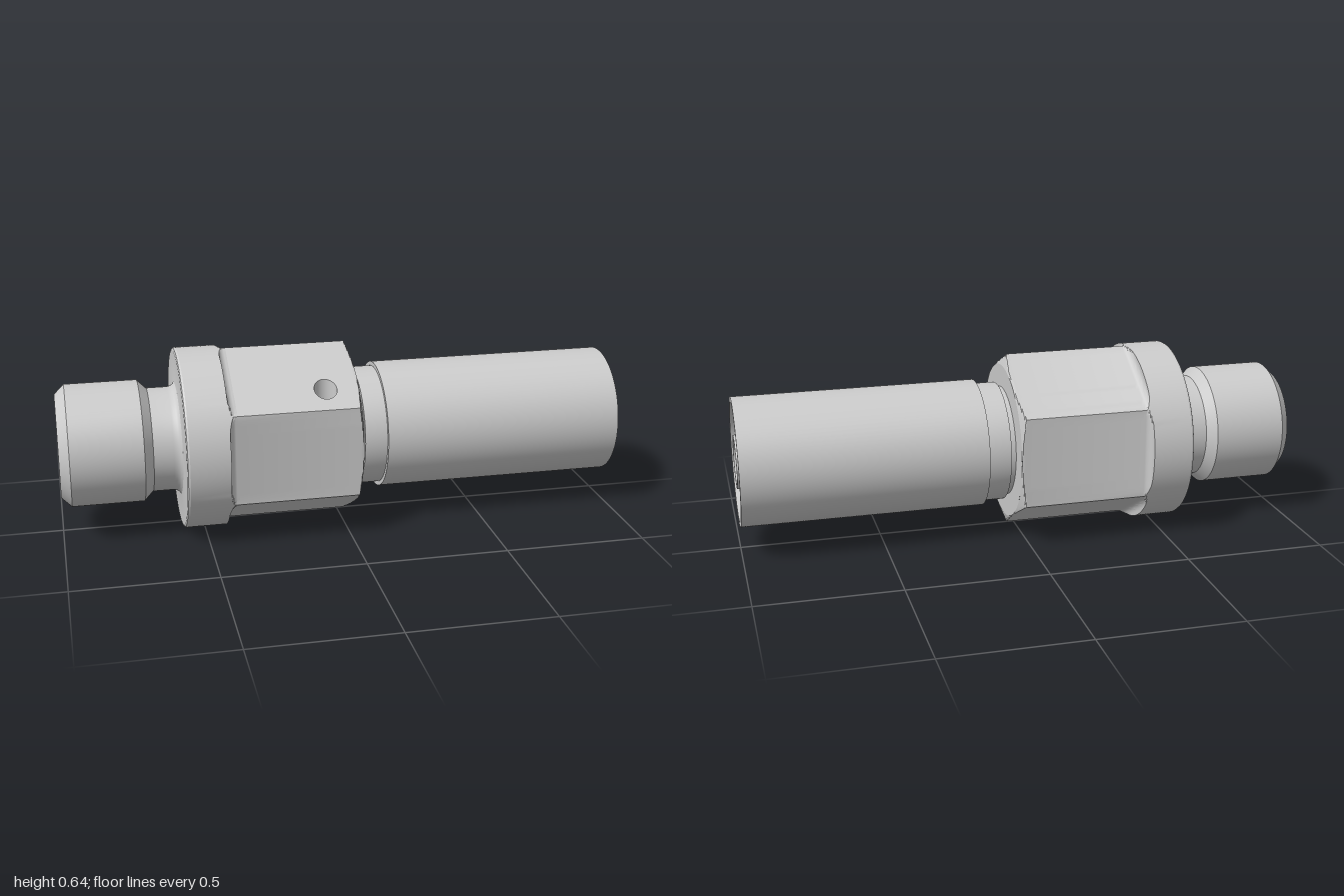
import * as THREE from 'three';
import { toCreasedNormals } from 'three/addons/utils/BufferGeometryUtils.js';

const R = 0.322;                       // flange and hexagon corner radius
const A = R * Math.cos(Math.PI / 6);   // hexagon flat distance
const BORE = 0.08;
const FLAT_START = -0.4, FLAT_END = 0.025;
const SEGS = 120, PER_FLAT = SEGS / 6;

const grey = new THREE.MeshStandardMaterial({ color: 0xcccccc });
const greyInside = new THREE.MeshStandardMaterial({ color: 0xcccccc, side: THREE.BackSide });

function addMesh(parent, name, geometry, material = grey) {
  const mesh = new THREE.Mesh(geometry, material);
  mesh.name = name;
  parent.add(mesh);
}

// Turned part along x, from [x, radius] points
function turned(points) {
  const profile = points.map(([x, r]) => new THREE.Vector2(r, x));
  const geo = new THREE.LatheGeometry(profile, 96).rotateZ(-Math.PI / 2);
  return toCreasedNormals(geo, 0.4);
}

// Round flange running into a hexagon: each section is a circle clipped by six flats
function hexBody() {
  const sections = [[-0.58, 0.312, 1], [-0.577, 0.319, 1], [-0.57, R, 1], [-0.43, R, 1]];
  for (let k = 0; k <= 6; k++) {       // milled fillet at the end of each flat
    const t = (k / 6) * Math.PI / 2;
    sections.push([FLAT_START - 0.03 * Math.cos(t), R, A + 0.03 * (1 - Math.sin(t))]);
  }
  const flatRow = sections.length - 1;
  for (let k = 0; k <= 4; k++) {       // chamfered corners at the far end
    sections.push([FLAT_END + 0.015 * k / 4, R - 0.044 * k / 4, A]);
  }
  const positions = [], index = [];
  for (const [x, radius, flat] of sections) {
    for (let j = 0; j <= SEGS; j++) {
      const angle = (j / SEGS) * Math.PI * 2;
      const off = ((j % PER_FLAT) / PER_FLAT - 0.5) * Math.PI / 3;
      const r = Math.min(radius, flat / Math.cos(off));
      positions.push(x, r * Math.cos(angle), r * Math.sin(angle));
    }
  }
  const row = SEGS + 1;
  for (let i = 0; i < sections.length - 1; i++) {
    for (let j = 0; j < SEGS; j++) {
      if (i === flatRow && j < PER_FLAT) continue;   // left open for the drilled flat
      const a = i * row + j, b = a + row;
      index.push(a, a + 1, b, a + 1, b + 1, b);
    }
  }
  const geo = new THREE.BufferGeometry();
  geo.setAttribute('position', new THREE.Float32BufferAttribute(positions, 3));
  geo.setIndex(index);
  return toCreasedNormals(geo, 0.4);
}

// Upper front flat with the hole cut out
function drilledFlat() {
  const shape = new THREE.Shape();
  shape.moveTo(FLAT_START, -R / 2);
  shape.lineTo(FLAT_END, -R / 2);
  shape.lineTo(FLAT_END, R / 2);
  shape.lineTo(FLAT_START, R / 2);
  const hole = new THREE.Path();
  hole.absellipse(-0.08, -0.064, 0.04, 0.04 / Math.cos(Math.PI / 6), 0, Math.PI * 2, true);
  shape.holes.push(hole);
  const c = Math.cos(Math.PI / 6);
  const basis = new THREE.Matrix4().makeBasis(
    new THREE.Vector3(1, 0, 0), new THREE.Vector3(0, 0.5, -c), new THREE.Vector3(0, c, 0.5));
  basis.setPosition(0, A * c, A * 0.5);
  return new THREE.ShapeGeometry(shape, 24).applyMatrix4(basis);
}

// Hole wall, its rim following the slope of the flat
function holeWall(z0, floor) {
  const geo = new THREE.CylinderGeometry(0.04, 0.04, 1, 48, 1, true);
  const p = geo.attributes.position;
  for (let i = 0; i < p.count; i++) {
    const z = p.getZ(i) + z0;
    const rim = (A - 0.5 * z) / Math.cos(Math.PI / 6);
    p.setXYZ(i, p.getX(i) - 0.08, p.getY(i) > 0 ? rim : floor, z);
  }
  return geo;
}

export function createModel() {
  const group = new THREE.Group();
  group.name = 'hoseFitting';
  group.position.y = R;

  // Plug end with chamfers, relief neck and flange face
  const neckFillet = [];
  for (let k = 0; k <= 5; k++) {
    const t = (k / 5) * Math.PI / 2;
    neckFillet.push([-0.61 + 0.03 * Math.sin(t), 0.184 + 0.02 * (1 - Math.cos(t))]);
  }
  addMesh(group, 'plugEnd', turned([
    [-1, BORE], [-1, 0.182], [-0.965, 0.216], [-0.712, 0.216], [-0.68, 0.184],
    ...neckFillet, [-0.58, 0.312],
  ]));

  addMesh(group, 'hexBody', hexBody());
  addMesh(group, 'drilledFlat', drilledFlat());

  // Blind hole
  const z0 = 0.064 * Math.cos(Math.PI / 6) + A / 2, floor = 0.12;
  addMesh(group, 'holeWall', holeWall(z0, floor), greyInside);
  addMesh(group, 'holeFloor',
    new THREE.CircleGeometry(0.04, 48).rotateX(-Math.PI / 2).translate(-0.08, floor, z0));

  // Hexagon end face, groove, collar and crimp sleeve with tapered inside
  addMesh(group, 'sleeve', turned([
    [0.04, 0.278], [0.04, 0.197], [0.06, 0.197], [0.06, 0.213], [0.14, 0.213],
    [0.14, 0.228], [1, 0.228], [1, 0.21], [0.2, 0.178], [0.2, 0.118],
  ]));

  // Inner nipple with tapered tip, and the through bore
  addMesh(group, 'nippleAndBore', turned([
    [0.2, 0.118], [0.86, 0.118], [1, 0.094], [1, BORE], [-1, BORE],
  ]));
  return group;
}
